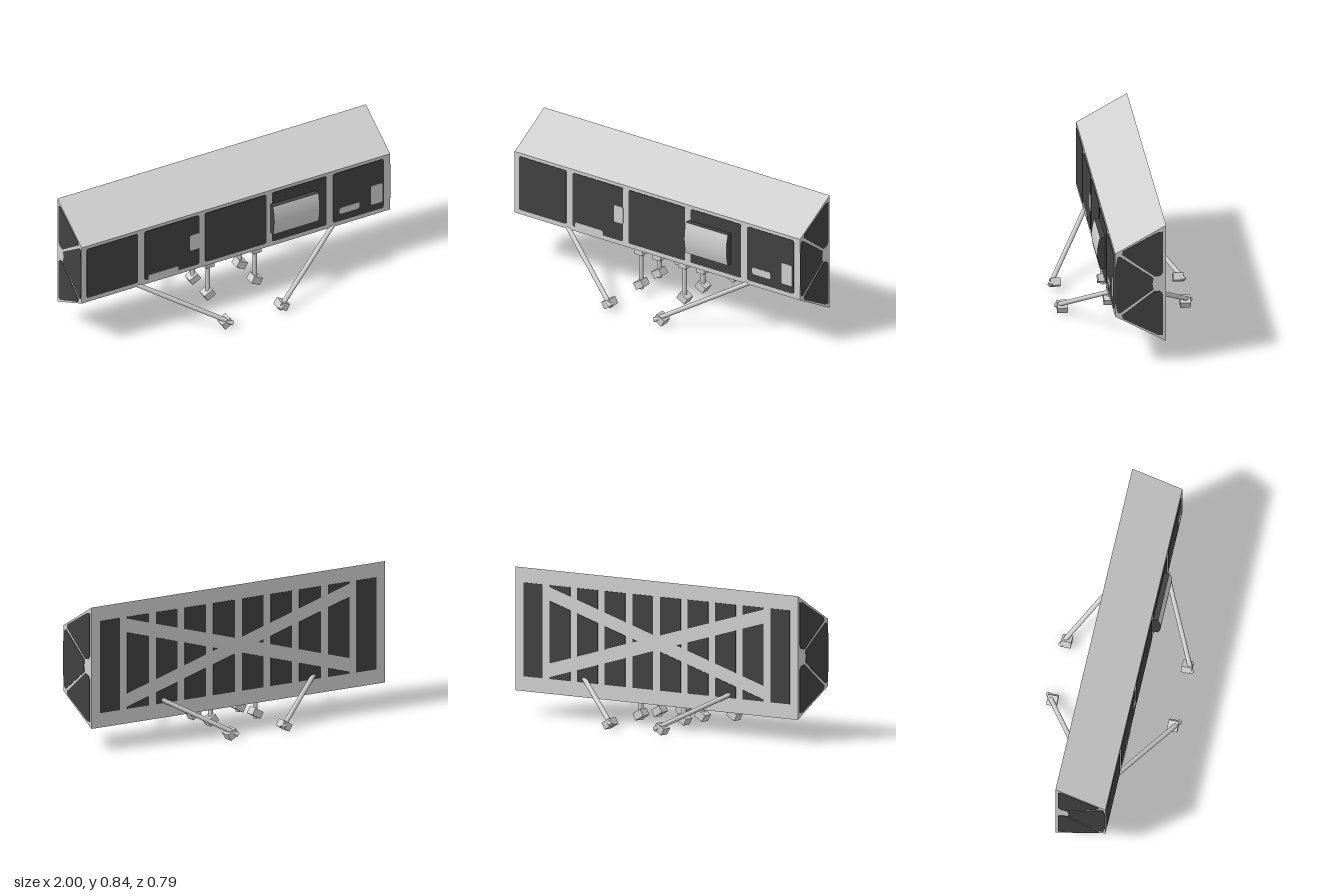
import * as THREE from 'three';
import { toCreasedNormals } from 'three/addons/utils/BufferGeometryUtils.js';

const material = (name, color) => {
  const m = new THREE.MeshStandardMaterial({ color });
  m.name = name;
  return m;
};

export function createModel() {
  const model = new THREE.Group();
  model.name = 'trussHousing';
  const light = material('light grey', 0xd0d0d0);
  const dark = material('dark grey', 0x414141);
  const THIN = 0.003, END = 0.997, FRONT = 0.14, BACK = -0.152, MID = 0.4875;

  const add = (name, geometry, mat, parent = model) => {
    const mesh = new THREE.Mesh(geometry, mat);
    mesh.name = name;
    parent.add(mesh);
    return mesh;
  };
  const polygon = (points) => new THREE.Shape(points.map(([x, y]) => new THREE.Vector2(x, y)));
  const extrude = (shape, depth) =>
    new THREE.ExtrudeGeometry(shape, { depth, bevelEnabled: false, curveSegments: 4 });

  // Rectangle with rounded corners, given by its edges
  const roundedRect = (x0, x1, y0, y1, r = 0.012) => {
    const s = new THREE.Shape();
    s.absarc(x1 - r, y1 - r, r, 0, Math.PI / 2);
    s.absarc(x0 + r, y1 - r, r, Math.PI / 2, Math.PI);
    s.absarc(x0 + r, y0 + r, r, Math.PI, Math.PI * 1.5);
    s.absarc(x1 - r, y0 + r, r, Math.PI * 1.5, Math.PI * 2);
    return s;
  };

  // Prism along x from a (z, y) section
  const prism = (section, x0, x1) =>
    extrude(polygon(section.map(([z, y]) => [-z, y])), x1 - x0)
      .rotateY(Math.PI / 2).translate(x0, 0, 0);

  // Trapezoidal main body
  add('body', prism([[FRONT, 0.295], [BACK, 0.132], [BACK, 0.844], [FRONT, 0.68]], -END, END), light);

  // Front openings
  const front = new THREE.Group();
  front.name = 'frontPanels';
  front.position.z = FRONT;
  model.add(front);
  [[-0.965, -0.634], [-0.59, -0.238], [-0.2, 0.195], [0.233, 0.585], [0.628, 0.954]]
    .forEach(([a, b]) => add('frontPanel', extrude(roundedRect(a, b, 0.323, 0.66), THIN), dark, front));
  // Light fittings on the front openings
  [[-0.3, -0.236, 0.435, 0.54], [-0.57, -0.375, 0.32, 0.355],
    [0.87, 0.945, 0.37, 0.5], [0.667, 0.795, 0.373, 0.415]]
    .forEach(([a, b, c, d]) => add('frontFitting', extrude(roundedRect(a, b, c, d), THIN * 2), light, front));

  // Curved box on the front
  add('frontBox', prism([[FRONT, 0.392], [FRONT, 0.585], [0.172, 0.585], [0.172, 0.392]], 0.222, 0.516), dark);
  const arc = [];
  for (let i = 0; i <= 12; i++) {
    const t = i / 6 - 1;
    arc.push([0.172 + 0.016 * (1 - t * t), 0.4885 + 0.0965 * t]);
  }
  add('curvedCover', toCreasedNormals(prism(arc, 0.222, 0.516), 0.5), [dark, light]);

  // Back lattice openings between the ribs and crossed braces
  const back = new THREE.Group();
  back.name = 'backLattice';
  back.position.z = BACK;
  back.rotation.y = Math.PI;
  model.add(back);
  const TOP = 0.27, SLOPE = 0.29, BRACE = 0.04;
  for (const s of [-1, 1]) {
    const cell = (pts) => add('backOpening', extrude(polygon(pts.map(([x, y]) => [s * x, MID + y])), THIN), dark, back);
    const [e0, e1] = [0.805, 0.94];
    cell([[e0, -TOP], [e1, -TOP], [e1, TOP], [e0, TOP]]);
    for (let k = 0; k < 4; k++) {
      const x0 = 0.195 * k + 0.025, x1 = 0.195 * (k + 1) - 0.025;
      for (const v of [-1, 1]) {
        cell([[x0, v * TOP], [x1, v * TOP], [x1, v * (SLOPE * x1 + BRACE)], [x0, v * (SLOPE * x0 + BRACE)]]);
      }
      const a = Math.max(x0, BRACE / SLOPE);
      const ya = SLOPE * a - BRACE, yb = SLOPE * x1 - BRACE;
      cell(ya > 0.001 ? [[a, -ya], [x1, -yb], [x1, yb], [a, ya]] : [[a, 0], [x1, -yb], [x1, yb]]);
    }
  }

  // End openings: upper and lower wedges and a front centre bay
  const wedge = [[0.096, 0.695], [-0.11, 0.805], [-0.135, 0.805], [-0.135, 0.556],
    [-0.12, 0.536], [-0.087, 0.531], [0.1, 0.673]];
  const lowerWedge = wedge.map(([z, y]) => [z, 2 * MID - y]);
  const bay = [[0.127, 0.657], [0.112, 0.661], [-0.08, 0.522], [-0.074, MID], [-0.08, 0.453],
    [0.112, 0.314], [0.127, 0.318], [0.139, 0.39], [0.139, 0.585]];
  for (const [x0, x1] of [[END, 1], [-1, -END]]) {
    [wedge, lowerWedge, bay].forEach((p) => add('endOpening', prism(p, x0, x1), dark));
  }

  // Legs
  const rod = (name, from, to, parent) => {
    const a = new THREE.Vector3(...from), b = new THREE.Vector3(...to);
    const mesh = add(name, new THREE.CylinderGeometry(0.0135, 0.0135, a.distanceTo(b), 20), light, parent);
    mesh.position.copy(a).add(b).multiplyScalar(0.5);
    mesh.quaternion.setFromUnitVectors(new THREE.Vector3(0, 1, 0), b.sub(a).normalize());
  };
  const foot = (x, y, z, side, parent) => {
    const mesh = add('foot', new THREE.BoxGeometry(0.062, 0.044, 0.06), light, parent);
    mesh.position.set(x, y, z);
    mesh.rotation.z = -side * Math.PI / 6;
  };
  for (const s of [-1, 1]) {
    const legs = new THREE.Group();
    legs.name = s > 0 ? 'leftLegs' : 'rightLegs';
    model.add(legs);
    // Splayed outer legs
    rod('frontLeg', [s * 0.63, 0.298, 0.13], [s * 0.15, 0.032, 0.385], legs);
    rod('backLeg', [s * 0.515, 0.238, -0.145], [s * 0.15, 0.032, -0.385], legs);
    for (const z of [0.352, -0.352]) foot(s * 0.182, 0.0355, z, s, legs);
    // Upright inner posts with mounting blocks
    for (const [z, y] of [[0.083, 0.266], [-0.096, 0.163]]) {
      rod('post', [s * 0.152, y, z], [s * 0.152, 0.028, z], legs);
      add('mount', new THREE.BoxGeometry(0.055, 0.032, 0.058), light, legs).position.set(s * 0.152, y, z);
      foot(s * 0.152, 0.06, z, s, legs);
    }
  }
  return model;
}
